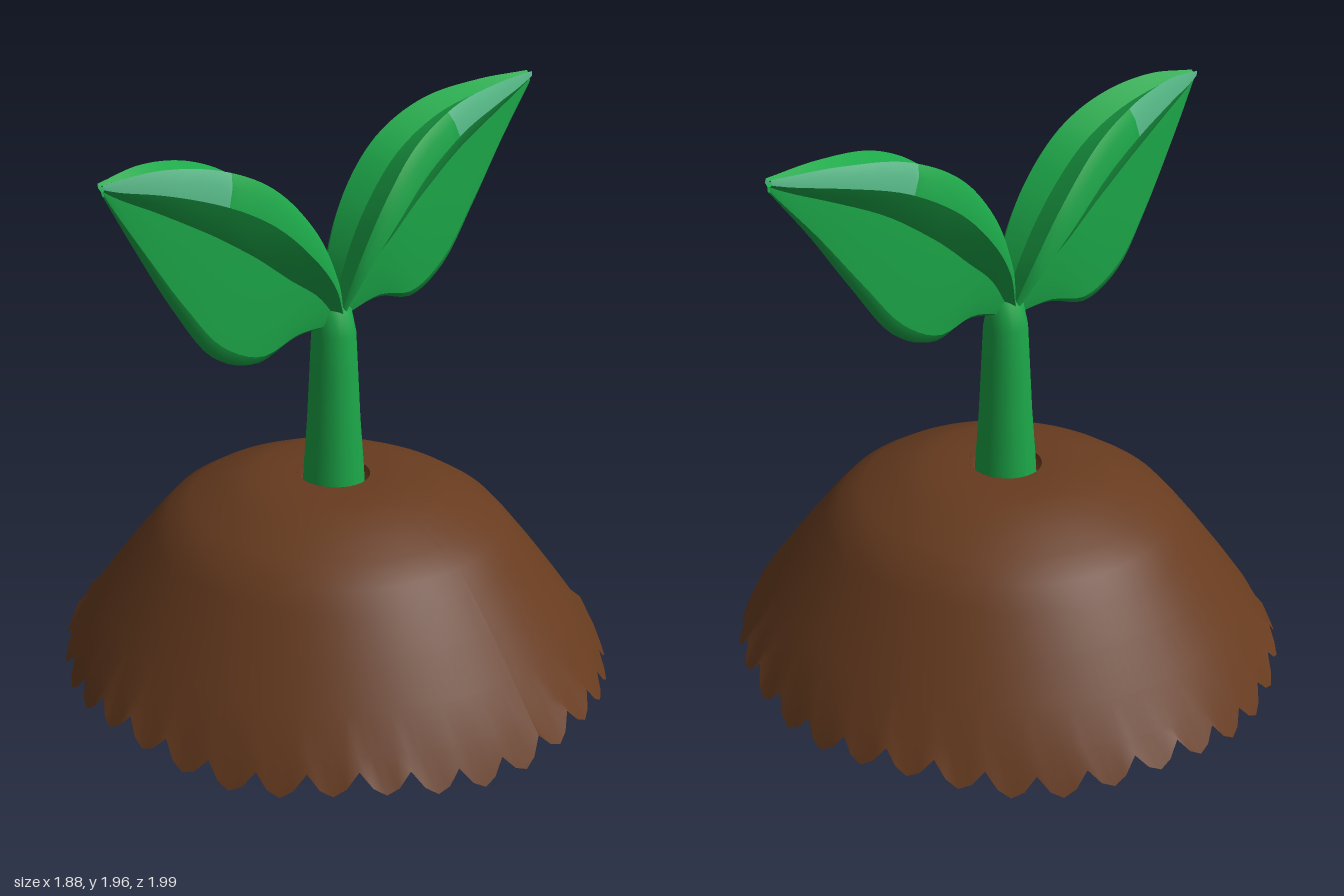
import * as THREE from 'three';

const mat = (name, color) => new THREE.MeshStandardMaterial({ name, color, side: THREE.DoubleSide });

const spline = (points) => new THREE.CatmullRomCurve3(points.map(([x, y]) => new THREE.Vector3(x, y, 0)));

const profileOf = (points) => points.map(([r, y]) => new THREE.Vector2(r, y));

// Surface through rows of points, row by row
function strip(rows) {
  const positions = rows.flat().flatMap((p) => [p.x, p.y, p.z]);
  const n = rows[0].length;
  const index = [];
  for (let i = 0; i < rows.length - 1; i++) {
    for (let j = 0; j < n - 1; j++) {
      const a = i * n + j, b = a + n;
      index.push(a, b, a + 1, b, b + 1, a + 1);
    }
  }
  const geometry = new THREE.BufferGeometry();
  geometry.setAttribute('position', new THREE.Float32BufferAttribute(positions, 3));
  geometry.setIndex(index);
  geometry.computeVertexNormals();
  return geometry;
}

function addMesh(parent, name, geometry, material) {
  const mesh = new THREE.Mesh(geometry, material);
  mesh.name = name;
  parent.add(mesh);
}

// Leaf: grooved top rim, undercut and thinner hanging blade
function makeLeaf(name, upperPoints, lowerPoints, green, paleGreen) {
  const leaf = new THREE.Group();
  leaf.name = name;
  const upper = spline(upperPoints), lower = spline(lowerPoints);
  const width = spline([[0, 0.055], [0.2, 0.1], [0.4, 0.125], [0.6, 0.122], [0.8, 0.1], [0.93, 0.06], [1, 0.015]]);
  const steps = 28;

  // s runs from the upper to the lower edge, h is the share of the half width;
  // the rim takes a larger share of the leaf towards the tip
  const point = (t, s, h, side) => {
    const share = Math.pow(s, 1 - 0.45 * t ** 3);
    const p = upper.getPoint(t).lerp(lower.getPoint(t), share);
    p.z = side * h * width.getPoint(t).y;
    return p;
  };
  const rim = [[0, 0.78], [0.06, 0.95], [0.17, 1]];
  const bands = [
    ['leafGroove', green, [[0.06, 0], [0, 0.78]], 0, 1],
    ['leafRim', green, rim, 0, 0.64],
    ['leafTipRim', paleGreen, rim, 0.64, 1],
    ['leafUndercut', green, [[0.17, 1], [0.27, 0.72], [0.36, 0.42]], 0, 1],
    ['leafBlade', green, [[0.36, 0.42], [0.65, 0.4], [0.92, 0.32]], 0, 1],
    ['leafEdge', green, [[0.92, 0.32], [0.98, 0.2], [1, 0]], 0, 1],
  ];
  for (const side of [1, -1]) {
    for (const [bandName, material, section, from, to] of bands) {
      const rows = [];
      for (let i = 0; i <= steps; i++) {
        const t = from + ((to - from) * i) / steps;
        rows.push(section.map(([s, h]) => point(t, s, h, side)));
      }
      addMesh(leaf, bandName, strip(rows), material);
    }
  }
  return leaf;
}

// Soil mound: hollow dome with a ragged lower edge
function makeMound(soil) {
  const mound = new THREE.Group();
  mound.name = 'soilMound';
  const profile = profileOf([[0.985, 0.06], [0.93, 0.14], [0.85, 0.25], [0.75, 0.38], [0.66, 0.49], [0.6, 0.555],
    [0.52, 0.605], [0.4, 0.66], [0.28, 0.7], [0.13, 0.7]]);
  const segments = 144;
  const geometry = new THREE.LatheGeometry(profile, segments);
  const pos = geometry.attributes.position;
  for (let i = 0; i <= segments; i++) {
    const k = i * profile.length;
    const tooth = Math.abs(Math.sin((i / segments) * Math.PI * 36));
    const uneven = 0.018 * Math.sin((i / segments) * Math.PI * 14);
    const r = 1.015 - 0.03 * (1 - tooth);
    pos.setXYZ(k, pos.getX(k) * r, 0.09 - 0.068 * tooth + uneven, pos.getZ(k) * r);
  }
  geometry.computeVertexNormals();
  addMesh(mound, 'soilDome', geometry, soil);
  // Dip around the stem
  addMesh(mound, 'soilHole', new THREE.LatheGeometry(profileOf([[0.13, 0.7], [0.115, 0.62], [0, 0.62]]), 36), soil);
  mound.scale.x = 0.94;
  return mound;
}

export function createModel() {
  const model = new THREE.Group();
  model.name = 'seedling';
  const soil = mat('soilBrown', 0x673b1f);
  const green = mat('leafGreen', 0x1ca849);
  const paleGreen = mat('paleLeafGreen', 0x55b886);

  model.add(makeMound(soil));

  // Stem, slightly flared at its foot
  const stemProfile = profileOf([[0.11, 0.62], [0.105, 0.72], [0.092, 0.9], [0.083, 1.08], [0.076, 1.22],
    [0.06, 1.3], [0.025, 1.335], [0, 1.34]]);
  addMesh(model, 'stem', new THREE.LatheGeometry(stemProfile, 14), green);

  model.add(makeLeaf('leftLeaf',
    [[0.0, 1.31], [0.05, 1.48], [0.14, 1.66], [0.28, 1.82], [0.48, 1.92], [0.72, 1.955], [0.945, 1.96]],
    [[0.04, 1.27], [0.19, 1.3], [0.35, 1.265], [0.5, 1.34], [0.65, 1.53], [0.8, 1.74], [0.945, 1.92]], green, paleGreen));
  model.add(makeLeaf('rightLeaf',
    [[0.0, 1.3], [-0.06, 1.45], [-0.17, 1.63], [-0.34, 1.8], [-0.53, 1.89], [-0.74, 1.925], [-0.925, 1.91]],
    [[-0.04, 1.25], [-0.19, 1.25], [-0.37, 1.2], [-0.53, 1.27], [-0.66, 1.44], [-0.8, 1.67], [-0.915, 1.87]], green, paleGreen));
  return model;
}
